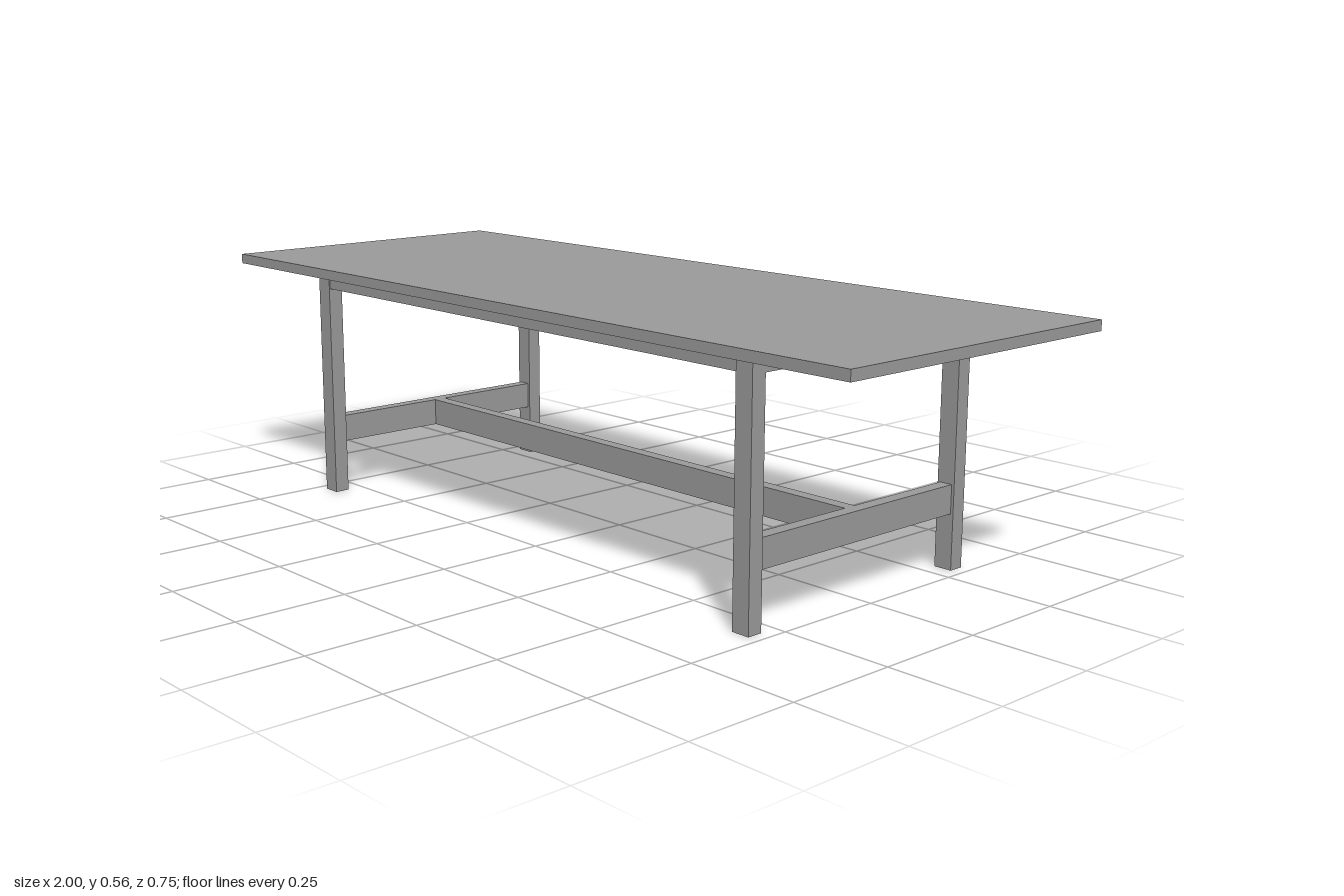
import * as THREE from 'three';

export function createModel() {
  const group = new THREE.Group();
  const material = new THREE.MeshStandardMaterial({ color: 0x9a9a9a, flatShading: true });

  // Box given by its centre in x and z, its bottom and top height, and its size
  function beam(name, x, z, y0, y1, w, d) {
    const mesh = new THREE.Mesh(new THREE.BoxGeometry(w, y1 - y0, d), material);
    mesh.name = name;
    mesh.position.set(x, (y0 + y1) / 2, z);
    group.add(mesh);
  }

  const legW = 0.043, legD = 0.035;    // leg section
  const railT = 0.03;                  // thickness of aprons and stretchers
  const legX = 0.703, legZ = 0.3075;   // leg centres
  const topY = 0.54, apronY = 0.505;   // underside of top, underside of aprons
  const lowY = 0.123, highY = 0.187;   // stretcher heights
  const spanX = 2 * legX - legW, spanZ = 2 * legZ - legD;

  beam('tableTop', 0, 0, topY, 0.563, 2, 0.75);

  for (const sx of [-1, 1]) {
    const side = sx > 0 ? 'left' : 'right';
    for (const sz of [-1, 1]) {
      beam(`${side}${sz > 0 ? 'Front' : 'Back'}Leg`, sx * legX, sz * legZ, 0, topY, legW, legD);
    }
    // End rails between each pair of legs, the apron flush with their outer faces
    beam(`${side}Apron`, sx * (legX + (legW - railT) / 2), 0, apronY, topY, railT, spanZ);
    beam(`${side}Stretcher`, sx * legX, 0, lowY, highY, railT, spanZ);
  }

  // Long rails under the top, and the central stretcher joining the ends
  for (const sz of [-1, 1]) {
    beam(sz > 0 ? 'frontApron' : 'backApron', 0, sz * legZ, apronY, topY, spanX, railT);
  }
  beam('centreStretcher', 0, 0, lowY, highY, 2 * legX - railT, railT);

  return group;
}
